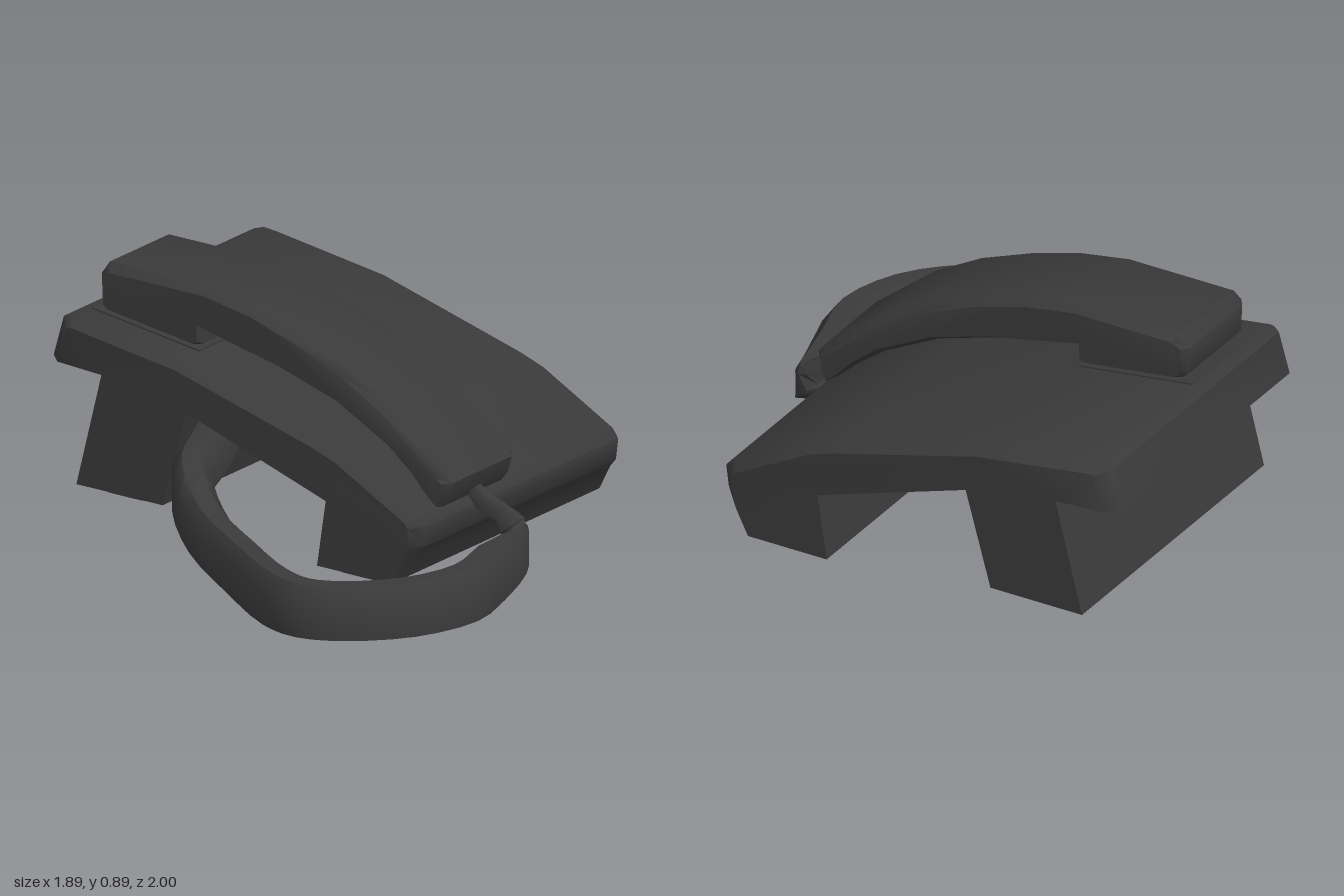
import * as THREE from 'three';
import { toCreasedNormals } from 'three/addons/utils/BufferGeometryUtils.js';

const dark = new THREE.MeshStandardMaterial({ color: 0x3a3a3a });

function mesh(name, geometry, parent) {
  const m = new THREE.Mesh(geometry, dark);
  m.name = name;
  parent.add(m);
  return m;
}

// Faces from rings of equal length, each counter-clockwise about the sweep direction, plus end caps
function fromRings(rings, caps, crease) {
  const n = rings[0].length, index = [];
  for (let r = 0; r < rings.length - 1; r++) {
    for (let i = 0; i < n; i++) {
      const a = r * n + i, b = r * n + (i + 1) % n;
      index.push(a, b, b + n, a, b + n, a + n);
    }
  }
  const last = (rings.length - 1) * n;
  for (const [a, b, c] of caps) index.push(c, b, a, last + a, last + b, last + c);
  const g = new THREE.BufferGeometry();
  g.setAttribute('position', new THREE.Float32BufferAttribute(rings.flat(2), 3));
  g.setIndex(index);
  return toCreasedNormals(g, crease);
}

// Side profile of [z, y, dz, dy] swept along x; dz, dy pull the end faces in for a chamfer
function sweepProfile(profile, x0, x1, bevel) {
  const signed = THREE.ShapeUtils.area(profile.map(([z, y]) => new THREE.Vector2(z, y)));
  const pts = signed > 0 ? [...profile].reverse() : profile;
  const ring = (x, k) => pts.map(([z, y, dz = 0, dy = 0]) => [x, y + k * dy, z + k * dz]);
  const rings = [ring(x0, 1), ring(x0 + bevel, 0), ring(x1 - bevel, 0), ring(x1, 1)];
  const flat = rings[0].map(([, y, z]) => new THREE.Vector2(z, y));
  const caps = THREE.ShapeUtils.triangulateShape(flat, []).map((t) => {
    const [a, b, c] = t.map((i) => flat[i]);
    const area = (b.x - a.x) * (c.y - a.y) - (b.y - a.y) * (c.x - a.x);
    return area < 0 ? t : [t[0], t[2], t[1]];
  });
  return fromRings(rings, caps, 0.85);
}

export function createModel() {
  const phone = new THREE.Group();
  phone.name = 'deskPhone';

  // Sloping body with a front leg and a rear leg in one profile
  const body = [
    [0.65, 0.245, -0.05, -0.01], [0.615, 0.285, -0.03, -0.03], [0.28, 0.45, 0, -0.03],
    [0.18, 0.485, 0, -0.03], [-0.425, 0.65, 0, -0.03], [-0.91, 0.715, 0.02, -0.03],
    [-0.955, 0.70, 0.05, -0.02], [-1, 0.545, 0.055, 0],
    [-0.75, 0.535], [-0.86, 0.10], [-0.48, 0.10], [-0.377, 0.47],
    [0.238, 0.267], [0.2, 0.015], [0.527, 0.015], [0.575, 0.11],
    [0.64, 0.165, -0.045, 0],
  ];
  mesh('body', sweepProfile(body, -0.31, 0.945, 0.055), phone);

  // Shallow rest under the ear end of the handset
  const rest = mesh('handsetRest', new THREE.BoxGeometry(0.415, 0.02, 0.475), phone);
  rest.position.set(0.0425, 0.677, -0.662);
  rest.rotation.x = 0.133;

  // Small pads under both legs
  for (const [z, y] of [[0.365, 0.012], [-0.665, 0.097]]) {
    for (const x of [-0.22, 0.86]) {
      const pad = mesh('footPad', new THREE.BoxGeometry(0.12, 0.024, 0.15), phone);
      pad.position.set(x, y, z);
    }
  }

  // Arched handset: mouth end in front, thick ear block at the back
  const handset = [
    [0.67, 0.375, -0.025, 0], [0.645, 0.41, -0.025, -0.02], [0.4, 0.61, -0.015, -0.025],
    [0.205, 0.72, -0.01, -0.03], [0, 0.80, 0, -0.03], [-0.2, 0.86, 0, -0.03],
    [-0.405, 0.895, 0, -0.03], [-0.84, 0.895, 0.02, -0.03], [-0.875, 0.845, 0.025, 0],
    [-0.87, 0.74, 0.025, 0], [-0.84, 0.714, 0.015, 0.012], [-0.45, 0.664, 0, 0.012],
    [-0.422, 0.675, -0.012, 0.01], [-0.42, 0.733, -0.012, 0.015], [-0.07, 0.65, 0, 0.02],
    [0.17, 0.575, 0.01, 0.02], [0.4, 0.455, 0.01, 0.02], [0.505, 0.375, 0.01, 0.015],
    [0.58, 0.305, 0, 0.015], [0.62, 0.272, 0, 0.015], [0.655, 0.32, -0.02, 0.01],
  ];
  mesh('handset', sweepProfile(handset, -0.17, 0.255, 0.035), phone);

  // Cord path: x, y, z, half width, half height
  const cordPoints = [
    [0.05, 0.31, 0.60, 0.03, 0.03], [0.05, 0.255, 0.68, 0.028, 0.032],
    [0.065, 0.22, 0.75, 0.028, 0.03], [0.075, 0.165, 0.795, 0.04, 0.05],
    [0.02, 0.12, 0.835, 0.045, 0.075], [-0.06, 0.105, 0.85, 0.055, 0.088],
    [-0.2, 0.1, 0.87, 0.075, 0.095], [-0.42, 0.1, 0.92, 0.078, 0.095],
    [-0.65, 0.1, 0.85, 0.078, 0.095], [-0.82, 0.1, 0.69, 0.075, 0.095],
    [-0.875, 0.1, 0.56, 0.075, 0.095], [-0.84, 0.1, 0.42, 0.075, 0.095],
    [-0.7, 0.115, 0.17, 0.075, 0.09], [-0.55, 0.155, -0.1, 0.075, 0.085],
    [-0.43, 0.225, -0.26, 0.075, 0.085], [-0.34, 0.27, -0.325, 0.07, 0.085],
    [-0.24, 0.31, -0.345, 0.07, 0.085], [-0.14, 0.38, -0.35, 0.065, 0.08],
  ];
  // Flat-bottomed section with chamfered upper edges
  const section = [[-0.92, -1], [0.92, -1], [1, 0.4], [0.45, 1], [-0.45, 1], [-1, 0.4]];
  const path = new THREE.CatmullRomCurve3(cordPoints.map(([x, y, z]) => new THREE.Vector3(x, y, z)));
  const rings = [], steps = 51, up = new THREE.Vector3(0, 1, 0);
  for (let s = 0; s <= steps; s++) {
    const t = s / steps, f = t * (cordPoints.length - 1);
    const i = Math.min(Math.floor(f), cordPoints.length - 2);
    const size = (k) => THREE.MathUtils.lerp(cordPoints[i][k], cordPoints[i + 1][k], f - i);
    const p = path.getPoint(t), dir = path.getTangent(t);
    const across = up.clone().cross(dir).normalize(), lift = dir.clone().cross(across);
    rings.push(section.map(([u, v]) => p.clone().addScaledVector(across, u * size(3))
      .addScaledVector(lift, v * size(4)).toArray()));
  }
  const caps = [];
  for (let j = 1; j < section.length - 1; j++) caps.push([0, j, j + 1]);
  mesh('cord', fromRings(rings, caps, 0.85), phone);

  return phone;
}
